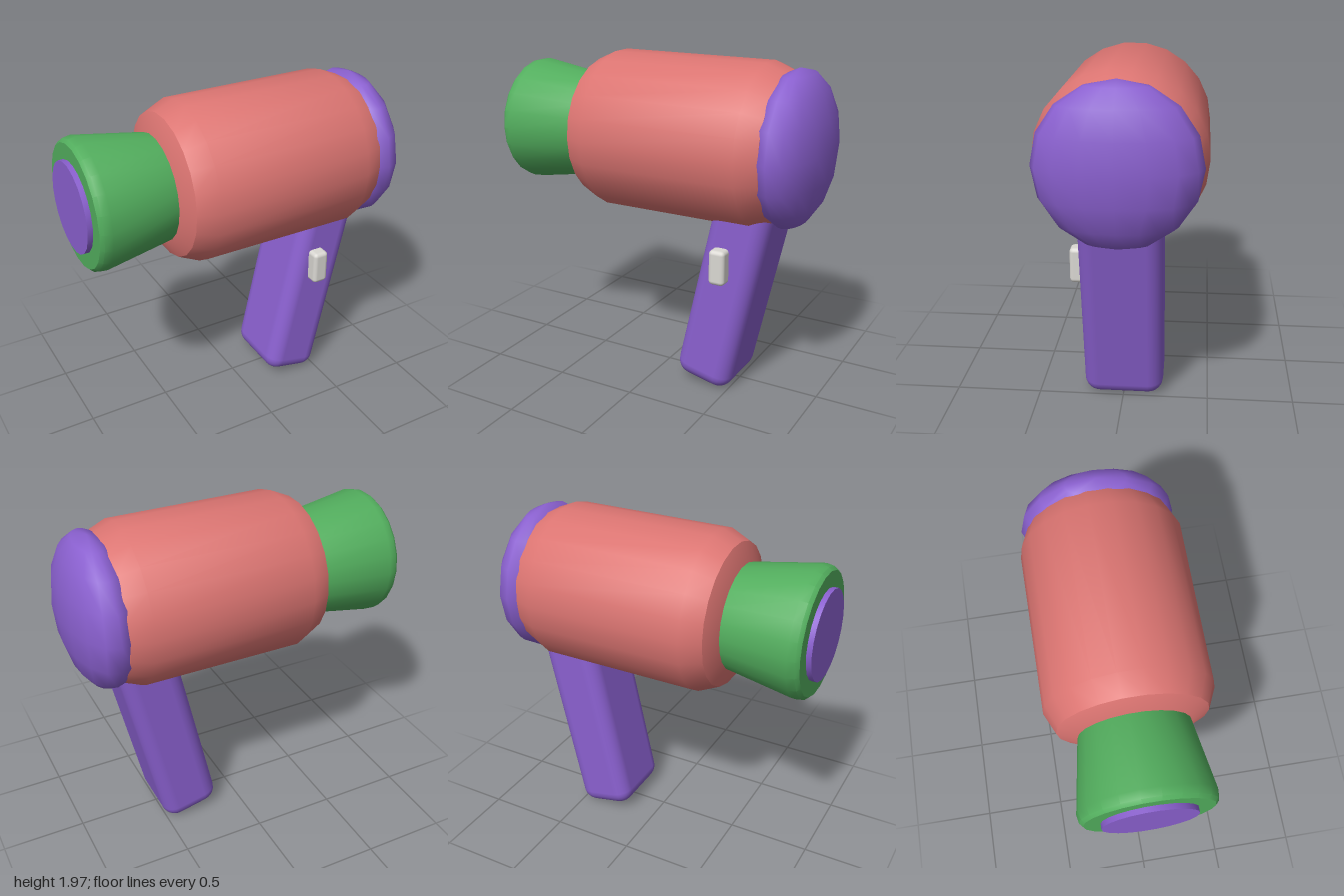
import * as THREE from 'three';
import { toCreasedNormals } from 'three/addons/utils/BufferGeometryUtils.js';
import { RoundedBoxGeometry } from 'three/addons/geometries/RoundedBoxGeometry.js';

const AXIS_Y = 1.5; // height of the barrel's axis

const material = (name, color) => {
  const m = new THREE.MeshStandardMaterial({ color });
  m.name = name;
  return m;
};

// Turned part along x; the profile lists [x, radius] from -x to +x
function turned(profile, sides) {
  const points = profile.map(([x, r]) => new THREE.Vector2(r, x));
  const geometry = new THREE.LatheGeometry(points, sides).rotateZ(-Math.PI / 2);
  return toCreasedNormals(geometry, 0.6);
}

export function createModel() {
  const group = new THREE.Group();
  group.name = 'hairDryer';

  const coral = material('coral', 0xdc7572);
  const purple = material('purple', 0x8a60cf);
  const green = material('green', 0x52ad5d);
  const white = material('offWhite', 0xdad8d3);

  const add = (name, geometry, mat, x, y, z) => {
    const mesh = new THREE.Mesh(geometry, mat);
    mesh.name = name;
    mesh.position.set(x, y, z);
    group.add(mesh);
    return mesh;
  };

  // Barrel with chamfered ends
  add('barrel', turned([
    [-0.5, 0], [-0.5, 0.31], [-0.45, 0.42], [-0.33, 0.474],
    [0.63, 0.474], [0.75, 0.425], [0.79, 0.31], [0.79, 0],
  ], 22), coral, 0, AXIS_Y, 0);

  // Nozzle flaring towards its mouth
  add('nozzle', turned([
    [-0.97, 0], [-0.97, 0.352], [-0.95, 0.37], [-0.905, 0.378],
    [-0.49, 0.31], [-0.49, 0],
  ], 22), green, 0, AXIS_Y, 0);

  // Outlet disc on the mouth
  add('outlet', turned([
    [-1, 0], [-1, 0.26], [-0.96, 0.26], [-0.96, 0],
  ], 22), purple, 0, AXIS_Y, 0);

  // Domed rear cap
  const cap = new THREE.SphereGeometry(1, 16, 8).scale(0.2, 0.45, 0.45);
  add('rearCap', cap, purple, 0.8, AXIS_Y, 0);

  // Handle leaning back into the barrel
  const handle = new RoundedBoxGeometry(0.357, 1.25, 0.468, 3, 0.09);
  add('handle', handle, purple, 0.456, 0.632, 0).rotation.z = -0.218;

  // Switch on the front of the handle
  const button = new RoundedBoxGeometry(0.1, 0.21, 0.12, 2, 0.025);
  add('switch', button, white, 0.463, 0.825, 0.245);

  return group;
}
